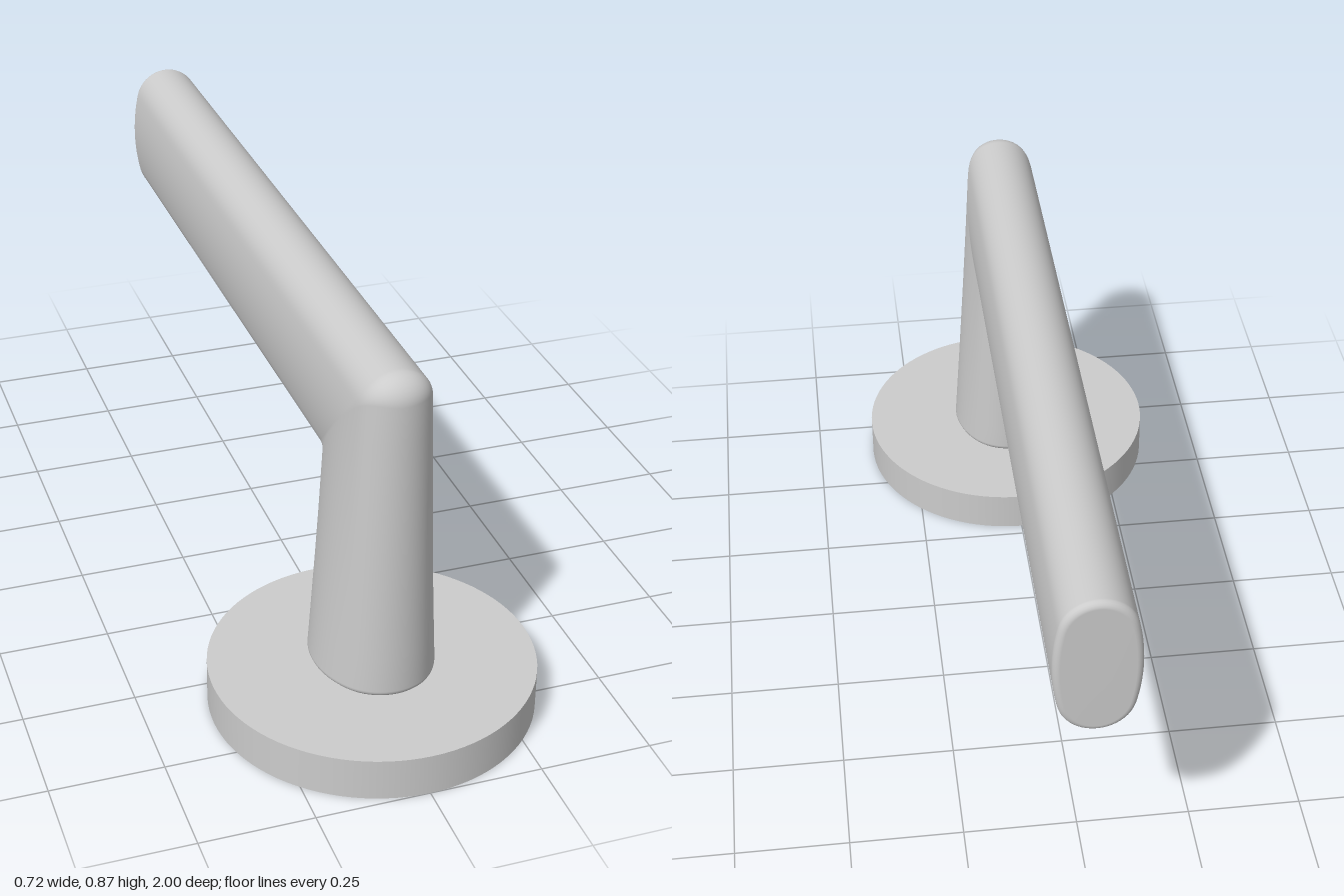
import * as THREE from 'three';

const material = new THREE.MeshStandardMaterial({ color: 0xcccccc });

const H = 0.1675;                    // half depth of the lever's oval section
const STEM_Z = 0.6325, GRIP_Y = 0.6975;
const BASE_Y = 0.103, END_Z = -1;
const GRIP_W = 0.09, BASE_W = 0.135; // half widths of the section
const BEVEL = 0.015;

// Half width at v of an oval made of two tip arcs and two flatter side arcs
function halfWidth(a, v) {
  const r = a * 0.889, c = H - r;
  const R = (a * a + c * c - r * r) / (2 * (a - r));
  const d = Math.abs(v);
  if (d > c + (r * c) / (R - r)) return Math.sqrt(Math.max(0, r * r - (d - c) ** 2));
  return Math.sqrt(R * R - d * d) - (R - a);
}

// One lengthwise line of the lever: up the stem, round the elbow, along the grip
function leverLine(theta) {
  const v = H * Math.cos(theta), side = Math.sign(Math.sin(theta));
  const wBase = side * halfWidth(BASE_W, v), wGrip = side * halfWidth(GRIP_W, v);
  const z = STEM_Z + v, y = GRIP_Y + v;
  const fillet = 0.004 + 0.054 * (Math.abs(v) / H) ** 4;
  const line = [];
  const taper = (py) => THREE.MathUtils.lerp(wBase, wGrip, (py - BASE_Y) / (y - BASE_Y));

  // rounded lower rim
  for (let k = 0; k < 5; k++) {
    const t = (k / 5) * Math.PI / 2, inset = BEVEL * (1 - Math.sin(t));
    line.push([wBase * (1 - inset / BASE_W), BASE_Y + BEVEL * (1 - Math.cos(t)), STEM_Z + v * (1 - inset / H)]);
  }
  // tapering stem
  for (let k = 0; k <= 8; k++) {
    const py = THREE.MathUtils.lerp(BASE_Y + BEVEL, y - fillet, k / 8);
    line.push([taper(py), py, z]);
  }
  // elbow
  for (let k = 1; k <= 8; k++) {
    const t = (k / 8) * Math.PI / 2;
    const py = y - fillet + fillet * Math.sin(t);
    line.push([taper(py), py, z - fillet + fillet * Math.cos(t)]);
  }
  // straight grip
  for (let k = 1; k <= 6; k++) {
    line.push([wGrip, y, THREE.MathUtils.lerp(z - fillet, END_Z + BEVEL, k / 6)]);
  }
  // rounded end rim
  for (let k = 1; k <= 5; k++) {
    const t = (k / 5) * Math.PI / 2, inset = BEVEL * (1 - Math.cos(t));
    line.push([wGrip * (1 - inset / GRIP_W), GRIP_Y + v * (1 - inset / H), END_Z + BEVEL * (1 - Math.sin(t))]);
  }
  return line;
}

function leverGeometry() {
  const N = 72, positions = [], index = [];
  let M = 0;
  for (let i = 0; i < N; i++) {
    const line = leverLine((i / N) * Math.PI * 2);
    M = line.length;
    line.forEach((p) => positions.push(...p));
  }
  const bottom = N * M, end = bottom + 1;
  positions.push(0, BASE_Y, STEM_Z, 0, GRIP_Y, END_Z);
  for (let i = 0; i < N; i++) {
    const a = i * M, b = ((i + 1) % N) * M;
    for (let j = 0; j < M - 1; j++) {
      index.push(a + j, b + j, b + j + 1, a + j, b + j + 1, a + j + 1);
    }
    index.push(bottom, b, a, end, a + M - 1, b + M - 1);
  }
  const geometry = new THREE.BufferGeometry();
  geometry.setAttribute('position', new THREE.Float32BufferAttribute(positions, 3));
  geometry.setIndex(index);
  geometry.computeVertexNormals();
  return geometry;
}

export function createModel() {
  const group = new THREE.Group();
  group.name = 'doorLever';
  const add = (name, geometry, y, z) => {
    const mesh = new THREE.Mesh(geometry, material);
    mesh.name = name;
    mesh.position.set(0, y, z);
    group.add(mesh);
  };

  // round mounting plate, the spindle collar and the lever itself
  add('mountingPlate', new THREE.CylinderGeometry(0.36, 0.36, 0.096, 96), 0.048, 0.64);
  add('spindleCollar', new THREE.CylinderGeometry(0.102, 0.102, 0.03, 64), 0.1, 0.64);
  add('lever', leverGeometry(), 0, 0);
  return group;
}
